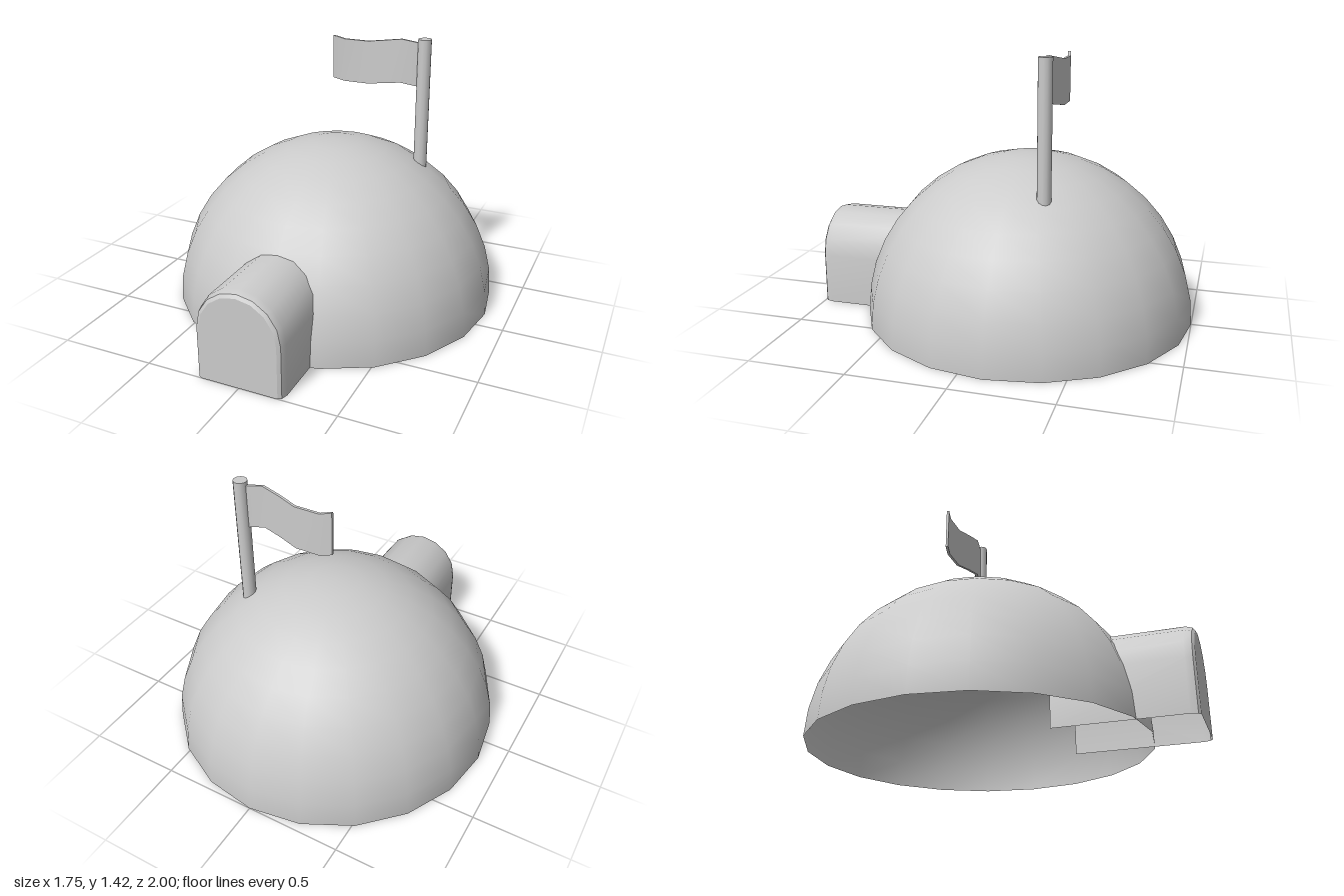
import * as THREE from 'three';
import { toCreasedNormals } from 'three/addons/utils/BufferGeometryUtils.js';

const material = new THREE.MeshStandardMaterial({ color: 0xcccccc, side: THREE.DoubleSide });

function addPart(group, name, geometry) {
  const mesh = new THREE.Mesh(geometry, material);
  mesh.name = name;
  group.add(mesh);
  return mesh;
}

// Doorway outline, from the foot at +x over the arch to the foot at -x
function archPoints(inset) {
  const r = 0.23 - inset, springY = 0.27, segments = 8;
  const points = [new THREE.Vector2(r, 0)];
  for (let i = 0; i <= segments; i++) {
    const a = (i / segments) * Math.PI;
    points.push(new THREE.Vector2(r * Math.cos(a), springY + r * Math.sin(a)));
  }
  points.push(new THREE.Vector2(-r, 0));
  return points;
}

// Joins equal-length rings of points into a surface
function loft(rings, closed = false) {
  const n = rings[0].length, index = [];
  const span = closed ? n : n - 1;
  for (let j = 0; j < rings.length - 1; j++) {
    for (let i = 0; i < span; i++) {
      const a = j * n + i, b = j * n + (i + 1) % n;
      index.push(a, b, a + n, b, b + n, a + n);
    }
  }
  const geometry = new THREE.BufferGeometry().setFromPoints(rings.flat());
  geometry.setIndex(index);
  return toCreasedNormals(geometry, 0.6);
}

// Waving cloth: a thin wavy strip seen from above, extruded upward, then lifted by the wave
function flagGeometry() {
  // x, z, height of the lower edge
  const wave = [
    [-0.095, -0.305, 1.165], [-0.035, -0.318, 1.148], [0.1, -0.318, 1.147],
    [0.2, -0.297, 1.165], [0.3, -0.283, 1.182], [0.4, -0.3, 1.165],
  ];
  const height = 0.232, half = 0.007;
  const rings = wave.map(([x, z, y]) => [
    new THREE.Vector3(x, y, z + half),
    new THREE.Vector3(x, y, z - half),
    new THREE.Vector3(x, y + height, z - half),
    new THREE.Vector3(x, y + height, z + half),
  ]);
  // pinch each end shut
  const pinch = (ring) => {
    const low = ring[0].clone().lerp(ring[1], 0.5), high = ring[2].clone().lerp(ring[3], 0.5);
    return [low, low.clone(), high, high.clone()];
  };
  return loft([pinch(rings[0]), ...rings, pinch(rings[rings.length - 1])], true);
}

export function createModel() {
  const model = new THREE.Group();
  model.name = 'domeHut';

  // Hollow half-sphere, open underneath
  const dome = addPart(model, 'dome',
    new THREE.SphereGeometry(0.875, 20, 10, 0, Math.PI * 2, 0, Math.PI / 2));
  dome.position.z = -0.125;

  // Entrance tunnel, open at the back and below, with a rounded front rim
  const entrance = new THREE.Group();
  entrance.name = 'entrance';
  model.add(entrance);
  const sections = [[0, 0.31], [0, 0.955], [0.011, 0.989], [0.028, 1]];
  addPart(entrance, 'tunnel', loft(sections.map(([inset, z]) =>
    archPoints(inset).map((p) => new THREE.Vector3(p.x, p.y, z)))));
  const door = addPart(entrance, 'door', new THREE.ShapeGeometry(new THREE.Shape(archPoints(0.028))));
  door.position.z = 1;

  // Flagpole rising from the roof
  const pole = addPart(model, 'flagpole', new THREE.CylinderGeometry(0.036, 0.036, 0.72, 12));
  pole.position.set(0.42, 1.06, -0.3);

  addPart(model, 'flag', flagGeometry());
  return model;
}
